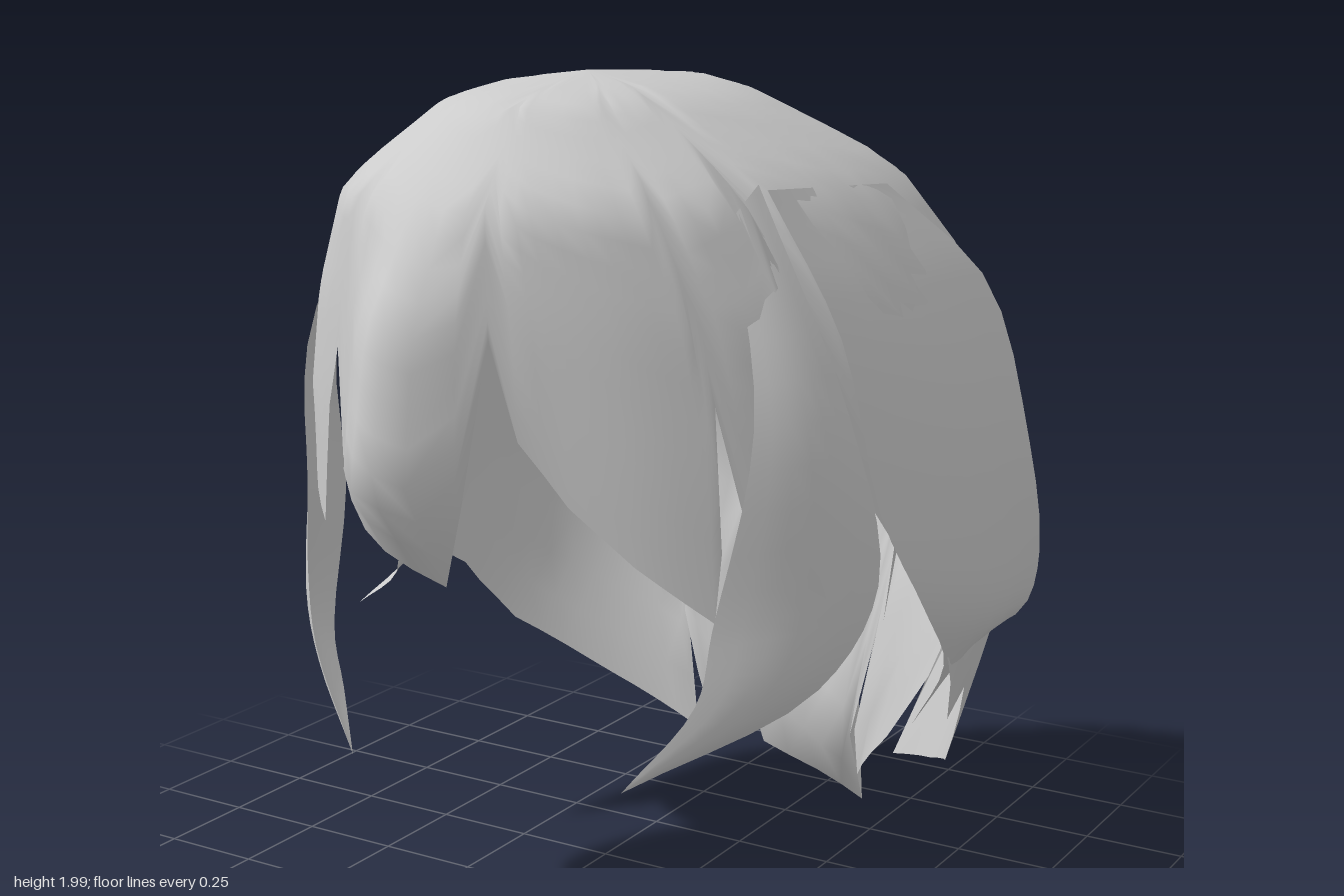
import * as THREE from 'three';
import { mergeVertices } from 'three/addons/utils/BufferGeometryUtils.js';

const material = new THREE.MeshStandardMaterial({ color: 0xcccccc, side: THREE.DoubleSide });

// Horizontal sections of the head of hair: height, half width, front z, back z, centre z
const SECTIONS = [
  [2.0, 0, 0.2, 0.2, 0.2], [1.98, 0.17, 0.42, -0.15, 0.17], [1.95, 0.27, 0.58, -0.25, 0.14],
  [1.82, 0.47, 0.72, -0.55, 0.08], [1.76, 0.54, 0.78, -0.66, 0.05], [1.55, 0.66, 0.92, -0.86, -0.03],
  [1.25, 0.74, 0.98, -0.92, -0.1], [1.03, 0.76, 0.82, -0.96, -0.1], [0.93, 0.77, 0.8, -0.97, -0.1],
  [0.75, 0.75, 0.75, -0.88, -0.1], [0.4, 0.65, 0.6, -0.8, -0.1], [0.2, 0.58, 0.6, -0.78, -0.1],
  [0, 0.58, 0.6, -0.95, -0.1],
];

// Jagged hem: root angle in degrees from the front towards +x, height, angle the strand sweeps to
const HEM = [
  [4, 1.03], [9, 1.2], [13, 1.53], [16, 1.33], [22, 1.2], [31, 1.08], [42, 0.96], [43.5, 1.1],
  [45, 1.39], [48, 1.1], [55, 1.18], [60, 1.35], [63, 1.65], [68, 1.15], [75, 1.0], [84, 0.82],
  [91, 0.68], [95, 0.57], [99, 0.63], [111, 0.39], [124, 0.31, 131], [136, 0.25, 150], [137, 0.72],
  [139, 0.5, 143], [149, 0.28, 154], [161, 0.12, 166], [164, 0.52], [166, 0.25], [169, 0.01],
  [187, 0.17], [190, 0.32], [191, 0.58], [194, 0.28], [198, 0.14, 200], [202, 0.35], [205, 0.52],
  [209, 0.2, 203], [227, 0.35, 224], [247, 0.53], [258, 0.7], [272, 0.82], [284, 1.0], [292, 1.15],
  [297, 1.62], [301, 1.28], [314, 1.13], [326, 1.06], [329, 1.2], [335, 1.46], [340, 1.25],
  [352, 1.14], [364, 1.03],
];

// Point on the cap at a given angle and height
function capPoint(degrees, y) {
  let i = 0;
  while (i < SECTIONS.length - 2 && SECTIONS[i + 1][0] > y) i++;
  const a = SECTIONS[i], b = SECTIONS[i + 1];
  const t = (a[0] - y) / (a[0] - b[0]);
  const [w, f, k, c] = [1, 2, 3, 4].map((n) => THREE.MathUtils.lerp(a[n], b[n], t));
  const r = THREE.MathUtils.degToRad(degrees);
  const s = Math.sin(r), q = Math.cos(r);
  const e = q < 0 ? 0.86 : 1; // the back is a little squarer than the front
  const width = s < 0 ? Math.min(w, 0.72) : w;
  // only the middle fringe lock stands out in front
  const fromMiddle = ((degrees + 182) % 360) - 180;
  const base = Math.min(f, 0.77);
  const front = base + (f - base) * Math.exp(-((fromMiddle / 13) ** 2));
  const depth = q > 0 ? front - c : k - c;
  return new THREE.Vector3(width * Math.sign(s) * Math.abs(s) ** e, y, c + depth * Math.abs(q) ** e);
}

// Smooth surface through columns of points, running left to right seen from outside
function sheet(name, columns) {
  const rows = columns[0].length, pos = [], index = [];
  columns.forEach((col) => col.forEach((p) => pos.push(p.x, p.y, p.z)));
  for (let i = 0; i < columns.length - 1; i++) {
    for (let j = 0; j < rows - 1; j++) {
      const a = i * rows + j, b = a + rows;
      index.push(a, a + 1, b + 1, a, b + 1, b);
    }
  }
  let geometry = new THREE.BufferGeometry();
  geometry.setAttribute('position', new THREE.Float32BufferAttribute(pos, 3));
  geometry.setIndex(index);
  geometry = mergeVertices(geometry, 1e-4);
  geometry.computeVertexNormals();
  const mesh = new THREE.Mesh(geometry, material);
  mesh.name = name;
  return mesh;
}

// Cap with fringe and nape strands cut into its hem
function cap() {
  const columns = [];
  const addColumn = (root, hem, tip) => {
    const col = [];
    for (let j = 0; j <= 20; j++) {
      const y = 2 - (2 - hem) * (1 - Math.cos((j / 20) * Math.PI / 2));
      const sweep = THREE.MathUtils.clamp((0.8 - y) / Math.max(0.8 - hem, 0.1), 0, 1);
      col.push(capPoint(root + (tip - root) * sweep, y));
    }
    columns.push(col);
  };
  for (let i = 0; i < HEM.length - 1; i++) {
    const [a0, y0, t0 = a0] = HEM[i], [a1, y1, t1 = a1] = HEM[i + 1];
    const n = Math.ceil((a1 - a0) / 5);
    for (let k = 0; k < n; k++) {
      const u = k / n;
      addColumn(a0 + (a1 - a0) * u, y0 + (y1 - y0) * u, t0 + (t1 - t0) * u);
    }
  }
  addColumn(364, 1.03, 364);
  return sheet('hairCap', columns);
}

// Pointed lock between two edge curves, bulging outwards in the middle
function lock(name, left, right, bulge) {
  const [l, r] = [left, right].map((pts) =>
    new THREE.CatmullRomCurve3(pts.map((p) => new THREE.Vector3(...p))).getPoints(20));
  const columns = [];
  for (let i = 0; i <= 6; i++) {
    const u = i / 6;
    columns.push(l.map((p, j) => {
      const q = p.clone().lerp(r[j], u);
      const out = new THREE.Vector3(q.x, 0, q.z).normalize();
      const amount = bulge * Math.sin(u * Math.PI) * Math.sin((j / 20) * Math.PI);
      return q.addScaledVector(out, amount);
    }));
  }
  return sheet(name, columns);
}

export function createModel() {
  const group = new THREE.Group();
  group.name = 'hair';
  group.add(cap());

  // Locks in front of the ears
  group.add(lock('leftSideLock',
    [[0.46, 1.74, 0.4], [0.57, 1.35, 0.5], [0.52, 0.95, 0.57], [0.5, 0.8, 0.6], [0.39, 0.63, 0.7]],
    [[0.48, 1.8, 0.33], [0.67, 1.35, 0.29], [0.73, 1.0, 0.26], [0.66, 0.8, 0.38], [0.39, 0.63, 0.7]], 0.03));
  group.add(lock('rightSideLock',
    [[-0.46, 1.8, 0.33], [-0.66, 1.35, 0.25], [-0.71, 1.0, 0.17], [-0.67, 0.7, 0.28], [-0.5, 0.62, 0.46], [-0.35, 0.54, 0.62]],
    [[-0.46, 1.74, 0.4], [-0.57, 1.4, 0.46], [-0.55, 1.1, 0.5], [-0.55, 0.9, 0.51], [-0.51, 0.74, 0.54], [-0.35, 0.54, 0.62]], 0.03));

  // Broad layers over the ears
  group.add(lock('leftSidePanel',
    [[0.5, 1.79, 0.33], [0.65, 1.5, 0.29], [0.73, 1.15, 0.26], [0.77, 0.92, 0.12], [0.74, 0.74, -0.06], [0.62, 0.55, -0.17]],
    [[0.53, 1.76, -0.15], [0.67, 1.52, -0.4], [0.77, 1.2, -0.41], [0.8, 0.92, -0.44], [0.79, 0.8, -0.39], [0.72, 0.74, -0.22], [0.62, 0.55, -0.17]], 0.025));
  group.add(lock('rightSidePanel',
    [[-0.52, 1.74, -0.24], [-0.69, 1.46, -0.39], [-0.77, 1.15, -0.47], [-0.8, 0.92, -0.44], [-0.8, 0.75, -0.24], [-0.82, 0.65, 0]],
    [[-0.48, 1.79, 0.22], [-0.68, 1.4, 0.06], [-0.75, 1.1, -0.02], [-0.76, 0.9, -0.05], [-0.76, 0.72, -0.08], [-0.82, 0.65, 0]], 0.02));
  return group;
}
